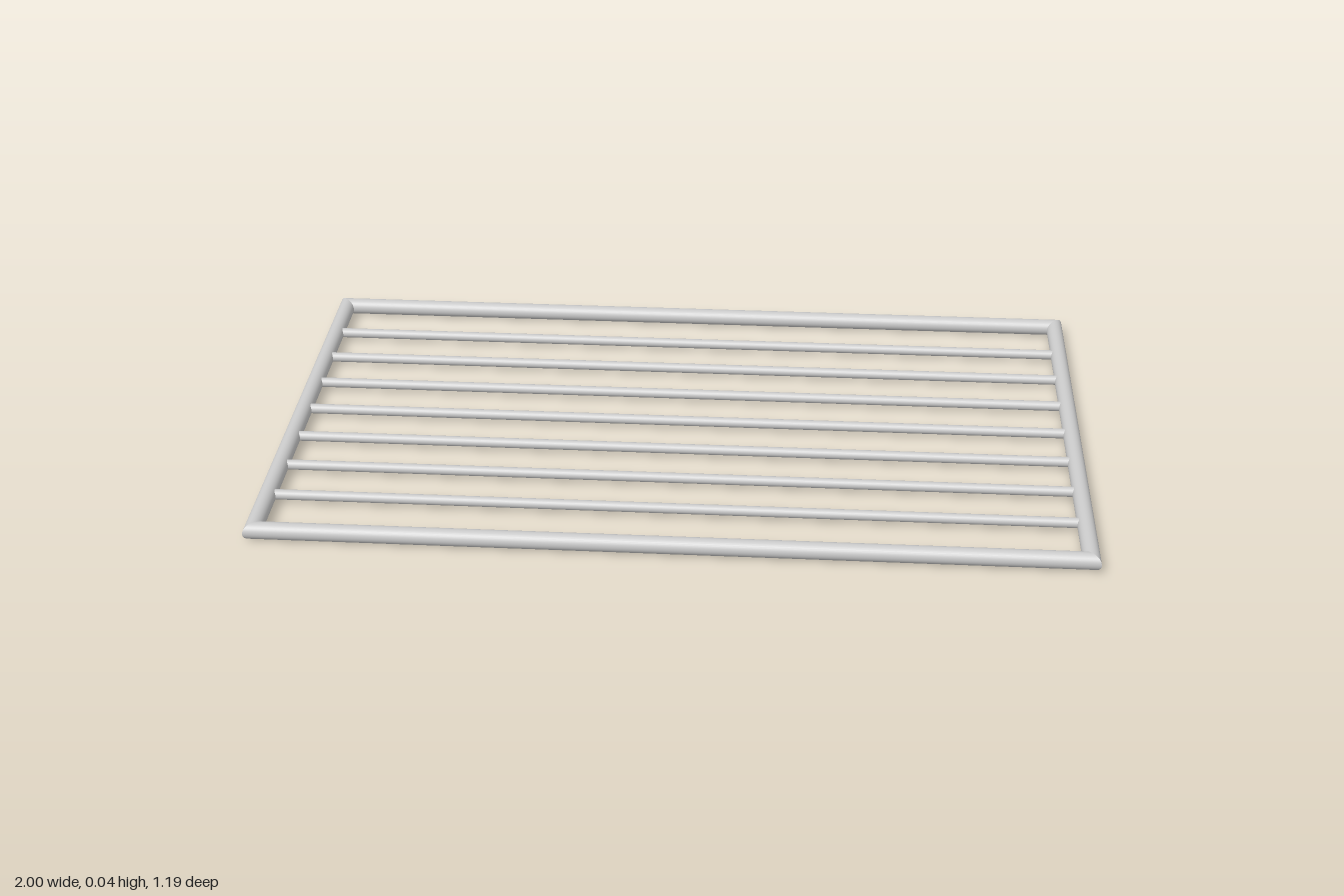
import * as THREE from 'three';

const R = 0.021;          // frame tube radius
const HALF_X = 1 - R;     // frame centre lines
const HALF_Z = 0.593 - R;
const RUNG_R = 0.0125;
const RUNG_STEP = 0.1378;

// Round tube along x whose ends are mitred at 45 degrees, +z being the outer side
function mitredTube(half) {
  const g = new THREE.CylinderGeometry(R, R, 2 * half, 32, 1, true);
  g.rotateZ(Math.PI / 2);
  const p = g.attributes.position;
  for (let i = 0; i < p.count; i++) {
    p.setX(i, Math.sign(p.getX(i)) * (half + p.getZ(i)));
  }
  return g;
}

export function createModel() {
  const model = new THREE.Group();
  model.name = 'barredPanel';
  const material = new THREE.MeshStandardMaterial({ color: 0xcccccc });

  // Outer frame: four mitred tubes
  const frame = new THREE.Group();
  frame.name = 'frame';
  const names = ['frontRail', 'leftRail', 'backRail', 'rightRail'];
  names.forEach((name, i) => {
    const isSide = i % 2 === 1;
    const rail = new THREE.Mesh(mitredTube(isSide ? HALF_Z : HALF_X), material);
    const angle = i * Math.PI / 2;
    const reach = isSide ? HALF_X : HALF_Z;
    rail.name = name;
    rail.rotation.y = angle;
    rail.position.set(Math.sin(angle) * reach, R, Math.cos(angle) * reach);
    frame.add(rail);
  });
  model.add(frame);

  // Seven thin bars running between the side rails
  const bars = new THREE.Group();
  bars.name = 'bars';
  const barGeometry = new THREE.CylinderGeometry(RUNG_R, RUNG_R, 2 * HALF_X, 24, 1, true);
  barGeometry.rotateZ(Math.PI / 2);
  for (let i = -3; i <= 3; i++) {
    const bar = new THREE.Mesh(barGeometry, material);
    bar.name = `bar${i + 4}`;
    bar.position.set(0, R, i * RUNG_STEP);
    bars.add(bar);
  }
  model.add(bars);

  return model;
}
